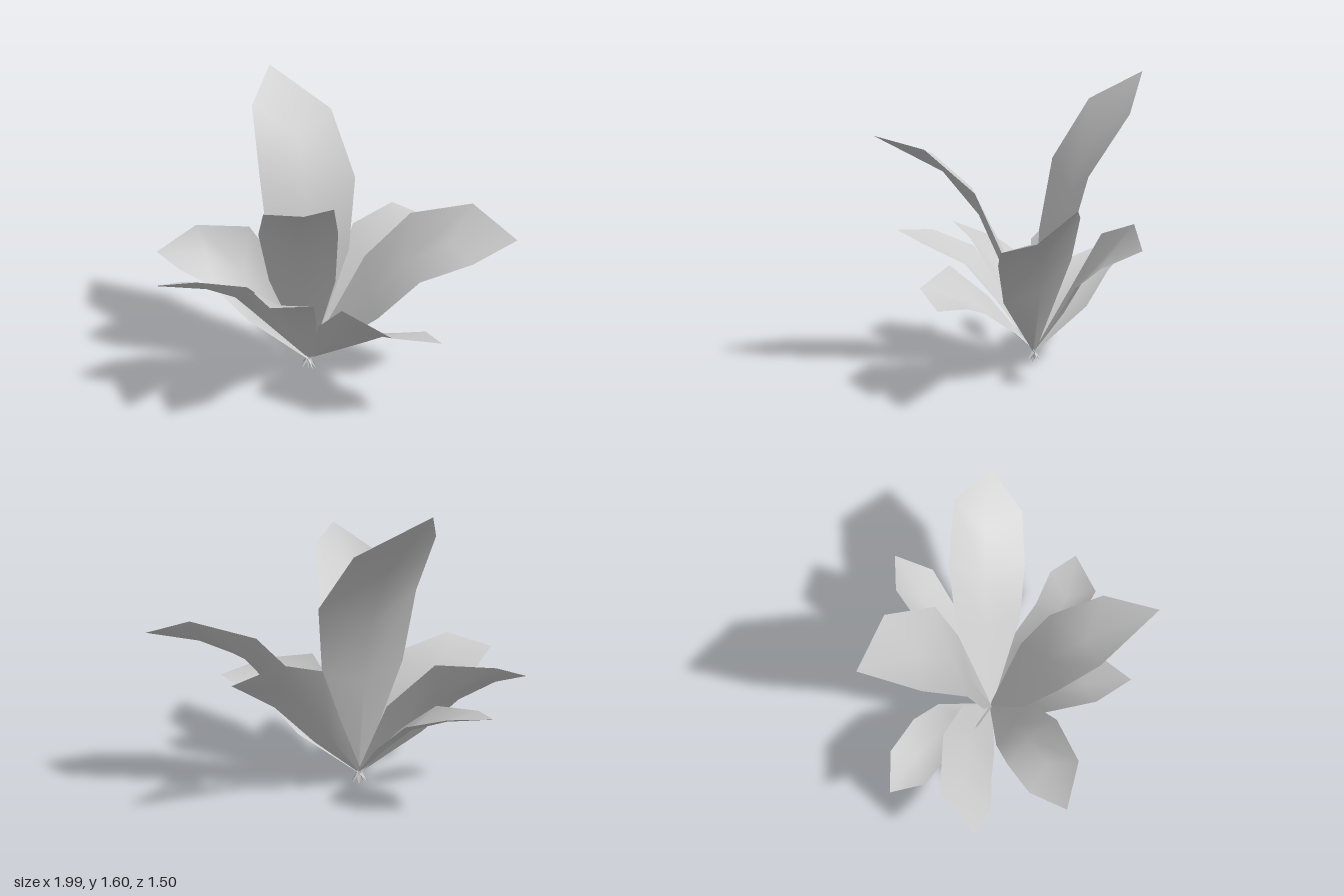
import * as THREE from 'three';

const V = (a) => new THREE.Vector3(...a);
const ROOT = V([-0.13, 0.075, -0.12]);
const material = new THREE.MeshStandardMaterial({ color: 0xcccccc, side: THREE.DoubleSide });

// One leaf: a strip of left / middle / right points running from tail and root to the tip.
// Each row is [left edge, right edge]; the middle is set back and sags outward as a shallow channel.
function leaf(name, tip, ...edgeRows) {
  const rows = edgeRows.map(([l, r]) => ({ l: V(l), r: V(r), c: V(l).lerp(V(r), 0.5) }));
  const setBack = [0.1, 0.35, 0.4];
  const neck = rows[0].r.clone().sub(rows[0].l).setLength(0.012);
  const tail = ROOT.clone().sub(rows[0].c.clone().sub(ROOT).setLength(0.075));

  const points = [tail, tail, tail, ROOT.clone().sub(neck), ROOT, ROOT.clone().add(neck)];
  rows.forEach(({ l, r, c }, i) => {
    const before = i ? rows[i - 1].c : ROOT;
    const along = c.clone().sub(before);
    const out = r.clone().sub(l).cross(along).normalize();
    if (out.y > 0) out.negate();
    const middle = c.clone().lerp(before, setBack[i]).addScaledVector(out, 0.03);
    points.push(l, middle, r);
  });
  points.push(V(tip), V(tip), V(tip));

  const index = [];
  const last = points.length / 3 - 2;
  for (let i = 0; i <= last; i++) {
    for (let j = 0; j < 2; j++) {
      const a = i * 3 + j, b = a + 1, c = a + 3, d = a + 4;
      if (i < last) index.push(a, b, c, b, d, c);
      else index.push(a, b, last * 3 + 4);
    }
  }
  const geometry = new THREE.BufferGeometry().setFromPoints(points);
  geometry.setIndex(index);
  geometry.computeVertexNormals();
  const mesh = new THREE.Mesh(geometry, material);
  mesh.name = name;
  return mesh;
}

export function createModel() {
  const plant = new THREE.Group();
  plant.name = 'leafyPlant';

  // Three large upright leaves
  plant.add(leaf('tallBackLeaf', [-0.38, 1.605, -0.755],
    [[-0.35, 0.72, -0.17], [0.09, 0.68, -0.27]],
    [[-0.4, 1.12, -0.25], [0.12, 1.07, -0.375]],
    [[-0.455, 1.45, -0.465], [-0.025, 1.39, -0.62]]));
  plant.add(leaf('tallFrontLeaf', [-0.09, 1.28, 0.75],
    [[-0.33, 0.62, 0.04], [0.03, 0.64, 0.07]],
    [[-0.365, 0.96, 0.21], [0.05, 0.98, 0.22]],
    [[-0.315, 1.16, 0.43], [0.04, 1.215, 0.485]]));
  plant.add(leaf('broadLeftLeaf', [0.995, 0.866, 0],
    [[0.18, 0.64, -0.278], [0.26, 0.43, 0.088]],
    [[0.43, 0.9, -0.287], [0.48, 0.67, 0.135]],
    [[0.765, 0.985, -0.225], [0.754, 0.785, 0.148]]));

  // Lower leaves bending outward
  plant.add(leaf('frontLeftLeaf', [0.595, 0.47, 0.445],
    [[-0.06, 0.4, 0.14], [0.19, 0.25, 0.02]],
    [[0.075, 0.604, 0.36], [0.35, 0.396, 0.19]],
    [[0.337, 0.535, 0.525], [0.513, 0.46, 0.29]]));
  plant.add(leaf('smallFrontLeaf', [-0.27, 0.742, 0.63],
    [[-0.32, 0.4, 0.03], [-0.07, 0.38, 0.1]],
    [[-0.37, 0.63, 0.2], [-0.075, 0.58, 0.27]],
    [[-0.37, 0.727, 0.432], [-0.12, 0.69, 0.5]]));
  plant.add(leaf('frontRightLeaf', [-0.922, 0.657, 0.214],
    [[-0.25, 0.45, 0.08], [-0.46, 0.374, -0.117]],
    [[-0.43, 0.66, 0.214], [-0.62, 0.545, -0.07]],
    [[-0.684, 0.722, 0.3], [-0.8, 0.6, 0.03]]));
  plant.add(leaf('rightLeaf', [-0.995, 0.64, -0.28],
    [[-0.25, 0.5, -0.28], [-0.47, 0.295, -0.13]],
    [[-0.48, 0.757, -0.395], [-0.66, 0.48, -0.16]],
    [[-0.79, 0.743, -0.44], [-0.855, 0.58, -0.18]]));
  plant.add(leaf('backRightLeaf', [-0.717, 0.566, -0.71],
    [[-0.32, 0.33, -0.2], [-0.17, 0.31, -0.417]],
    [[-0.5, 0.52, -0.353], [-0.3, 0.485, -0.557]],
    [[-0.685, 0.545, -0.52], [-0.49, 0.565, -0.69]]));
  plant.add(leaf('backLeftLeaf', [0.572, 0.75, -0.58],
    [[0, 0.45, -0.3], [0.12, 0.28, -0.19]],
    [[0.107, 0.765, -0.45], [0.34, 0.52, -0.28]],
    [[0.326, 0.848, -0.583], [0.51, 0.65, -0.38]]));

  // Little roots splayed under the crown
  const roots = new THREE.Group();
  roots.name = 'roots';
  for (let i = 0; i < 5; i++) {
    const angle = (i / 5) * Math.PI * 2;
    const root = new THREE.Mesh(new THREE.ConeGeometry(0.007, 0.06, 4), material);
    root.name = 'root';
    const dir = new THREE.Vector3(Math.cos(angle) * 0.45, -1, Math.sin(angle) * 0.45).normalize();
    root.quaternion.setFromUnitVectors(new THREE.Vector3(0, 1, 0), dir);
    root.position.copy(ROOT).addScaledVector(dir, 0.03);
    roots.add(root);
  }
  plant.add(roots);
  return plant;
}
